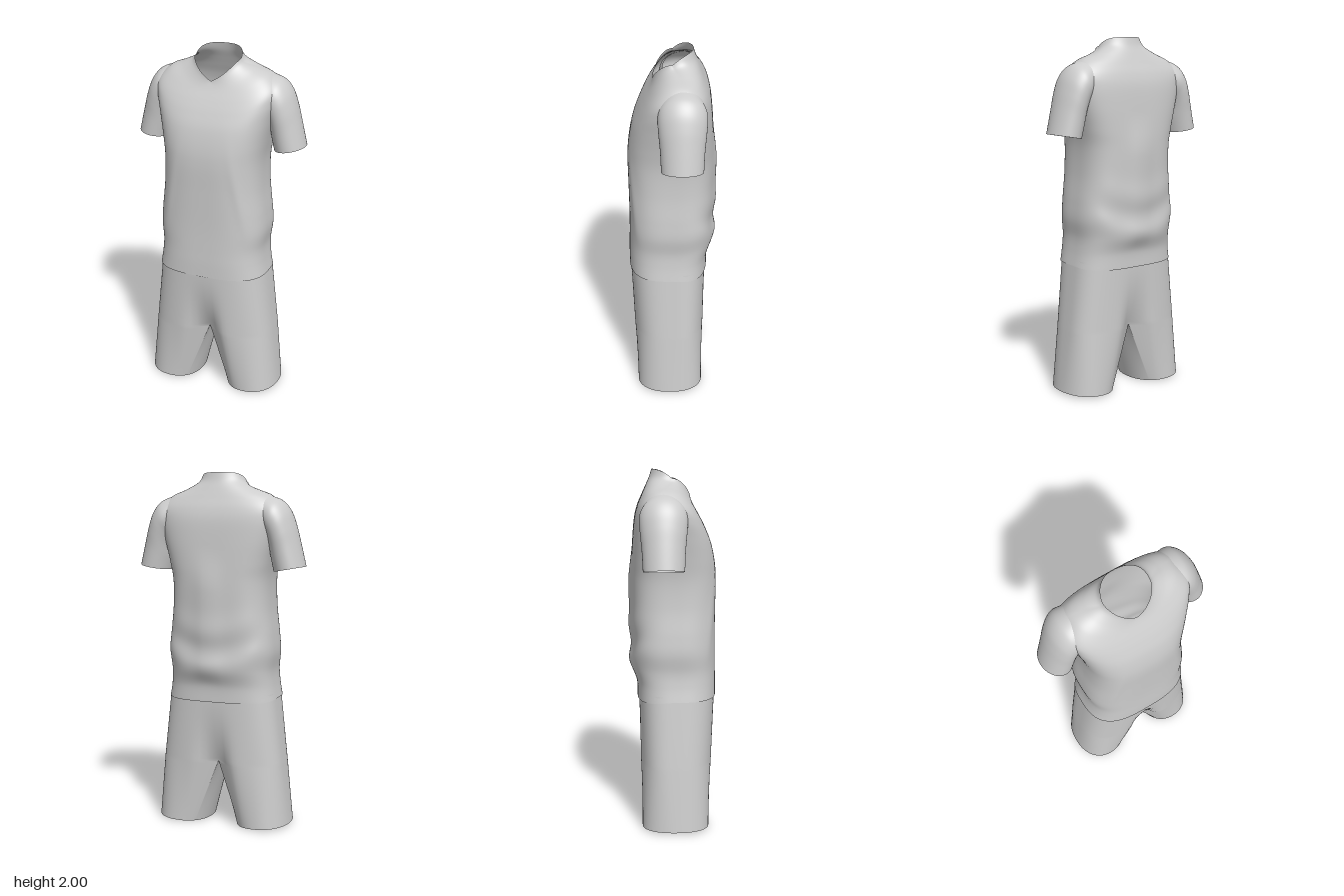
import * as THREE from 'three';
import { mergeGeometries, mergeVertices } from 'three/addons/utils/BufferGeometryUtils.js';

const TAU = Math.PI * 2;
const { lerp, smoothstep } = THREE.MathUtils;
const spow = (v, e) => Math.sign(v) * Math.pow(Math.abs(v), e);
const bump = (v, c, w) => Math.exp(-(((v - c) / w) ** 2));

// Closed tube without caps: fn(u, v) gives [x, y, z]; u runs round, v runs downwards
function loft(fn, nu, nv) {
  const pos = [], index = [];
  for (let j = 0; j <= nv; j++)
    for (let i = 0; i < nu; i++) pos.push(...fn(i / nu, j / nv));
  for (let j = 0; j < nv; j++)
    for (let i = 0; i < nu; i++) {
      const a = j * nu + i, b = j * nu + ((i + 1) % nu);
      index.push(a, b, a + nu, b, b + nu, a + nu);
    }
  const g = new THREE.BufferGeometry();
  g.setAttribute('position', new THREE.Float32BufferAttribute(pos, 3));
  g.setIndex(index);
  g.computeVertexNormals();
  return g;
}

// Smooth interpolation through rows of numbers
function sampleRows(rows, v) {
  const f = v * (rows.length - 1), i = Math.min(Math.floor(f), rows.length - 2), t = f - i;
  const at = k => rows[Math.max(0, Math.min(rows.length - 1, k))];
  return rows[0].map((_, c) => {
    const p0 = at(i - 1)[c], p1 = at(i)[c], p2 = at(i + 1)[c], p3 = at(i + 2)[c];
    return p1 + 0.5 * t * (p2 - p0 + t * (2 * p0 - 5 * p1 + 4 * p2 - p3 + t * (3 * (p1 - p2) + p3 - p0)));
  });
}

// Shirt rings from hem to collar: side x, y, z; front y, z; back y, z
const BODY = [
  [0.32, 0.74, 0.01, 0.74, 0.248, 0.725, -0.196],
  [0.306, 0.82, 0.01, 0.82, 0.248, 0.81, -0.2],
  [0.3, 0.9, 0.01, 0.9, 0.246, 0.9, -0.222],
  [0.31, 1.0, 0, 1.0, 0.244, 1.0, -0.222],
  [0.303, 1.1, 0, 1.1, 0.244, 1.1, -0.224],
  [0.286, 1.25, 0, 1.25, 0.246, 1.25, -0.226],
  [0.283, 1.4, -0.01, 1.4, 0.248, 1.4, -0.228],
  [0.3, 1.52, -0.03, 1.5, 0.24, 1.5, -0.226],
  [0.327, 1.64, -0.05, 1.6, 0.218, 1.62, -0.22],
  [0.35, 1.74, -0.055, 1.68, 0.186, 1.73, -0.21],
  [0.35, 1.81, -0.06, 1.74, 0.156, 1.8, -0.193],
  [0.29, 1.875, -0.06, 1.79, 0.128, 1.86, -0.168],
  [0.21, 1.906, -0.04, 1.815, 0.115, 1.91, -0.146],
  [0.15, 1.928, -0.01, 1.83, 0.108, 1.955, -0.126],
  [0.13, 1.95, 0, 1.84, 0.105, 2.0, -0.112],
];

function bodyPoint(u, v) {
  const w = 1 - v;
  const [X, yS, zS, yF, zF, yB, zB] = sampleRows(BODY, w);
  const c = Math.cos(u * TAU), s = Math.sin(u * TAU), as = Math.abs(s);
  const e = lerp(0.68, 1, smoothstep(w, 0.72, 1));
  const x = X * spow(c, e);
  const front = s > 0;
  // The front of the collar falls to a soft V, the back stays high
  const k = front ? lerp(s * s, (s * s + 1 - Math.abs(c)) / 2, smoothstep(w, 0.8, 1)) : as * (2 - as);
  const y = lerp(yS, front ? yF : yB, k);
  let z = lerp(zS, front ? zF : zB, Math.pow(as, e));
  // Slanting folds at the front; a hanging middle fold and sagging folds at the back
  if (front) z += 0.008 * as * bump(Math.abs(x), 0.17 + (1.4 - y) * 0.2, 0.03) * bump(y, 1.2, 0.22);
  else {
    z -= 0.018 * bump(x, 0.02, 0.08) * smoothstep(y, 0.82, 0.95) * (1 - smoothstep(y, 1.35, 1.6));
    z += 0.007 * as * Math.sin(26 * (y - 1.4 * x * x)) * bump(y, 1.02, 0.16);
  }
  return [x, y, z];
}

// Sleeve rings from shoulder to cuff: outer x, y; inner x, y; half depth
const SLEEVE = [
  [0.29, 1.872, 0.26, 1.69, 0.11],
  [0.355, 1.846, 0.272, 1.66, 0.127],
  [0.402, 1.792, 0.283, 1.63, 0.128],
  [0.433, 1.715, 0.294, 1.585, 0.123],
  [0.459, 1.62, 0.302, 1.53, 0.116],
  [0.492, 1.487, 0.318, 1.457, 0.111],
];

const sleevePoint = side => (u, v) => {
  const [ox, oy, ix, iy, d] = sampleRows(SLEEVE, v);
  const a = side * u * TAU, k = (1 + Math.cos(a)) / 2;
  return [side * lerp(ix, ox, k), lerp(iy, oy, k), -0.053 + d * Math.sin(a)];
};

// Hips of the shorts, pinched along the middle towards the crotch
function hipPoint(u, v) {
  const c = Math.cos(u * TAU), s = Math.sin(u * TAU);
  const x = lerp(0.313, 0.36, v) * spow(c, 0.68);
  const depth = s > 0 ? lerp(0.243, 0.228, v) : lerp(0.188, 0.184, v);
  const pinch = 1 - 0.42 * v ** 2.2 * bump(x, 0, 0.07);
  return [x, lerp(0.77, 0.37, v), depth * spow(s, 0.68) * pinch];
}

// Each leg blends from half of the hip ring to an oval hem
const legPoint = side => (u, v) => {
  const a = side > 0 ? u : (1 - u) % 1;
  let top, angle;
  if (a <= 0.5) {
    top = hipPoint(a - 0.25, 1);
    angle = lerp(-130, 130, a * 2);
  } else {
    const t = (a - 0.5) * 2;
    top = [0, 0.37, lerp(hipPoint(0.25, 1)[2], hipPoint(-0.25, 1)[2], t)];
    angle = lerp(130, 230, t);
  }
  const c = Math.cos(angle * Math.PI / 180), s = Math.sin(angle * Math.PI / 180);
  const hem = [0.243 + 0.154 * spow(c, 0.9), 0.007 + 0.007 * c, 0.015 + 0.187 * spow(s, 0.9)];
  const [x, y, z] = top.map((p, i) => lerp(p, hem[i], v));
  return [side * (Math.abs(x) < 1e-6 ? 0 : x), y, z];
};

export function createModel() {
  const group = new THREE.Group();
  const fabric = new THREE.MeshStandardMaterial({ color: 0xcccccc, side: THREE.DoubleSide });
  fabric.name = 'greyFabric';
  const add = (name, geometry) => {
    const mesh = new THREE.Mesh(geometry, fabric);
    mesh.name = name;
    group.add(mesh);
  };

  add('shirtBody', loft(bodyPoint, 128, 110));
  add('leftSleeve', loft(sleevePoint(1), 64, 36));
  add('rightSleeve', loft(sleevePoint(-1), 64, 36));

  // Hips and both legs joined into one smooth surface
  const pieces = [loft(hipPoint, 96, 30), loft(legPoint(1), 96, 30), loft(legPoint(-1), 96, 30)];
  pieces.forEach(p => p.deleteAttribute('normal'));
  const shorts = mergeVertices(mergeGeometries(pieces), 1e-4);
  shorts.computeVertexNormals();
  add('shorts', shorts);

  return group;
}
